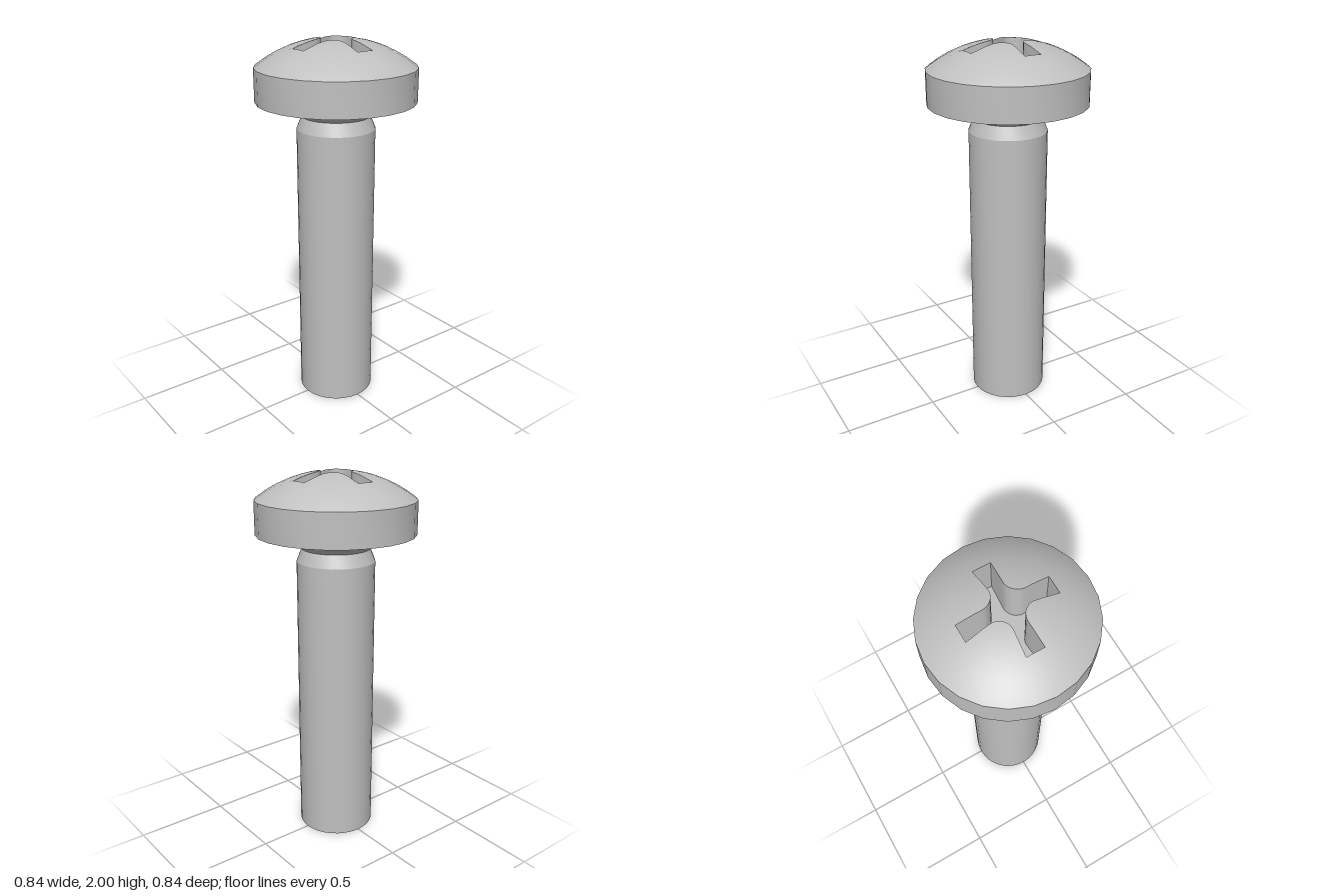
import * as THREE from 'three';
import { toCreasedNormals } from 'three/addons/utils/BufferGeometryUtils.js';

const HEAD_R = 0.42, RIM_Y = 1.86, APEX_Y = 2.0045, FLOOR_Y = 1.74, SIDES = 24;
const CAP = APEX_Y - RIM_Y;
const SPHERE_R = (HEAD_R * HEAD_R + CAP * CAP) / (2 * CAP);
const SPHERE_Y = APEX_Y - SPHERE_R;

// Outline of the cross recess, counter-clockwise, one quarter repeated four times
function crossOutline() {
  const quarter = [[0.233, 0], [0.233, 0.046]];
  for (let i = 0; i <= 8; i++) {
    const a = -Math.PI / 2 - (i / 8) * (Math.PI / 2);
    quarter.push([0.105 + 0.069 * Math.cos(a), 0.105 + 0.069 * Math.sin(a)]);
  }
  quarter.push([0.046, 0.233]);
  const points = [];
  for (let q = 0; q < 4; q++) {
    for (const [x, y] of quarter) {
      points.push(new THREE.Vector2(x, y).rotateAround(new THREE.Vector2(), q * Math.PI / 2));
    }
  }
  return points;
}

const angleOf = (p) => (Math.atan2(p.y, p.x) + Math.PI * 2 + 1e-7) % (Math.PI * 2);

// Distance from the centre to a star-shaped outline in a given direction
function reach(points, angle) {
  const d = new THREE.Vector2(Math.cos(angle), Math.sin(angle));
  for (let i = 0; i < points.length; i++) {
    const a = points[i], b = points[(i + 1) % points.length];
    const ca = d.cross(a), cb = d.cross(b);
    if (ca <= 1e-6 && cb >= -1e-6 && cb - ca > 1e-9 && d.dot(a) > 0) {
      const t = -ca / (cb - ca);
      return d.dot(a) * (1 - t) + d.dot(b) * t;
    }
  }
  return 0;
}

// Surface through closed rings of points, ordered from the inside outwards
function loft(rings) {
  const n = rings[0].length, index = [];
  for (let k = 0; k < rings.length - 1; k++) {
    for (let i = 0; i < n; i++) {
      const j = (i + 1) % n, a = k * n, b = a + n;
      index.push(a + i, b + i, b + j, a + i, b + j, a + j);
    }
  }
  const geometry = new THREE.BufferGeometry().setFromPoints(rings.flat());
  geometry.setIndex(index);
  geometry.computeVertexNormals();
  return geometry;
}

const lathe = (profile, sides) => toCreasedNormals(
  new THREE.LatheGeometry(profile.map(([r, y]) => new THREE.Vector2(r, y)), sides), 0.3);

export function createModel() {
  const group = new THREE.Group();
  const steel = new THREE.MeshStandardMaterial({ color: 0xc0c0c0 });
  steel.name = 'steel grey';
  const add = (name, geometry) => {
    const mesh = new THREE.Mesh(geometry, steel);
    mesh.name = name;
    group.add(mesh);
  };

  // Shank with its waisted neck flaring into the head
  add('shank', lathe([[0, 0], [0.207, 0], [0.207, 1.54], [0.18, 1.607], [0.245, 1.683]], 32));

  // Underside and straight rim of the head
  add('headRim', lathe([[0.2, 1.683], [HEAD_R, 1.683], [HEAD_R, RIM_Y]], SIDES));

  // Directions shared by the cross outline and the corners of the rim
  const cross = crossOutline();
  const rim = Array.from({ length: SIDES }, (_, i) => {
    const a = (i / SIDES) * Math.PI * 2;
    return new THREE.Vector2(HEAD_R * Math.cos(a), HEAD_R * Math.sin(a));
  });
  const angles = [...cross, ...rim].map(angleOf).sort((a, b) => a - b)
    .filter((a, i, all) => i === 0 || a - all[i - 1] > 1e-4);
  const at = (a, r, y) => new THREE.Vector3(r * Math.cos(a), y, -r * Math.sin(a));
  const inner = angles.map((a) => reach(cross, a));
  const outer = angles.map((a) => reach(rim, a));

  // Domed top around the recess
  const domeY = (r) => SPHERE_Y + Math.sqrt(SPHERE_R * SPHERE_R - r * r);
  const domeRing = (t) => angles.map((a, i) => {
    const r = THREE.MathUtils.lerp(inner[i], outer[i], t);
    const stretch = THREE.MathUtils.lerp(1, HEAD_R / outer[i], t);
    return at(a, r, domeY(Math.min(r * stretch, HEAD_R)));
  });
  const dome = loft([0, 0.17, 0.33, 0.5, 0.67, 0.83, 1].map(domeRing));
  const position = dome.attributes.position, normal = dome.attributes.normal;
  for (let i = 0; i < position.count; i++) {
    const v = new THREE.Vector3().fromBufferAttribute(position, i);
    v.y -= SPHERE_Y;
    v.normalize();
    normal.setXYZ(i, v.x, v.y, v.z);
  }
  add('headDome', dome);

  // Walls and floor of the cross recess
  const floorRing = angles.map((a, i) => at(a, inner[i], FLOOR_Y));
  add('recessWalls', toCreasedNormals(loft([floorRing, domeRing(0)]), 0.5));
  add('recessFloor', loft([angles.map((a) => at(a, 0, FLOOR_Y)), floorRing]));

  return group;
}
